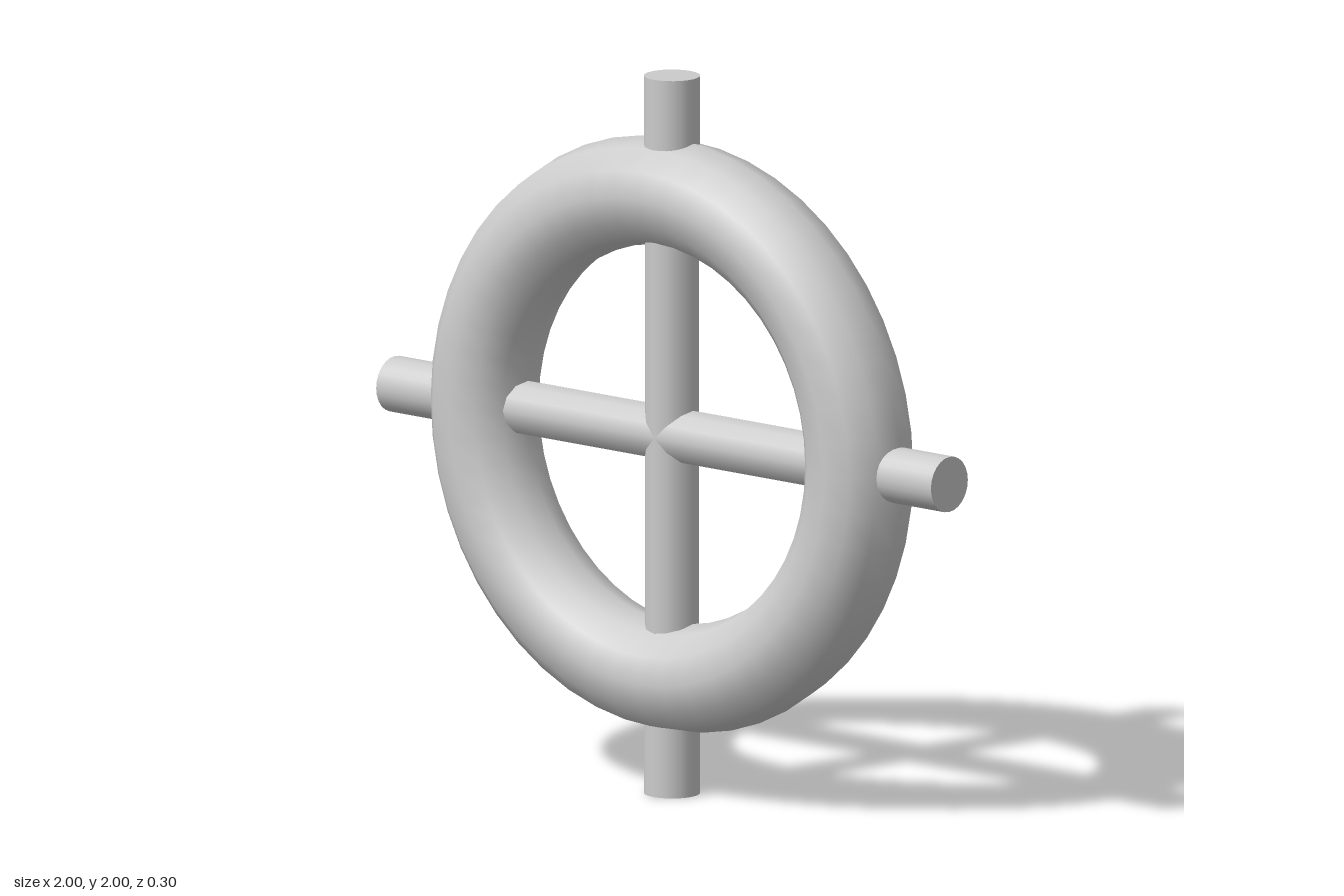
import * as THREE from 'three';

export function createModel() {
  const group = new THREE.Group();
  const material = new THREE.MeshStandardMaterial({ color: 0xcccccc });

  const add = (name, geometry, parent = group) => {
    const mesh = new THREE.Mesh(geometry, material);
    mesh.name = name;
    parent.add(mesh);
    return mesh;
  };

  // Everything is arranged around the hub, one unit above the ground
  const wheel = new THREE.Group();
  wheel.name = 'wheel';
  wheel.position.y = 1;
  group.add(wheel);

  // Round rim
  add('rim', new THREE.TorusGeometry(0.675, 0.15, 12, 48), wheel);

  // Two crossing bars through the rim
  for (const [name, angle] of [['verticalBar', 0], ['horizontalBar', Math.PI / 2]]) {
    add(name, new THREE.CylinderGeometry(0.075, 0.075, 1.96, 12), wheel).rotation.z = angle;
  }

  // Four handle stubs, from inside the rim out to the bar ends
  ['topHandle', 'leftHandle', 'bottomHandle', 'rightHandle'].forEach((name, i) => {
    const arm = new THREE.Group();
    arm.name = name;
    arm.rotation.z = -i * Math.PI / 2;
    add(name + 'Stub', new THREE.CylinderGeometry(0.077, 0.077, 0.3, 24), arm).position.y = 0.85;
    wheel.add(arm);
  });

  return group;
}
